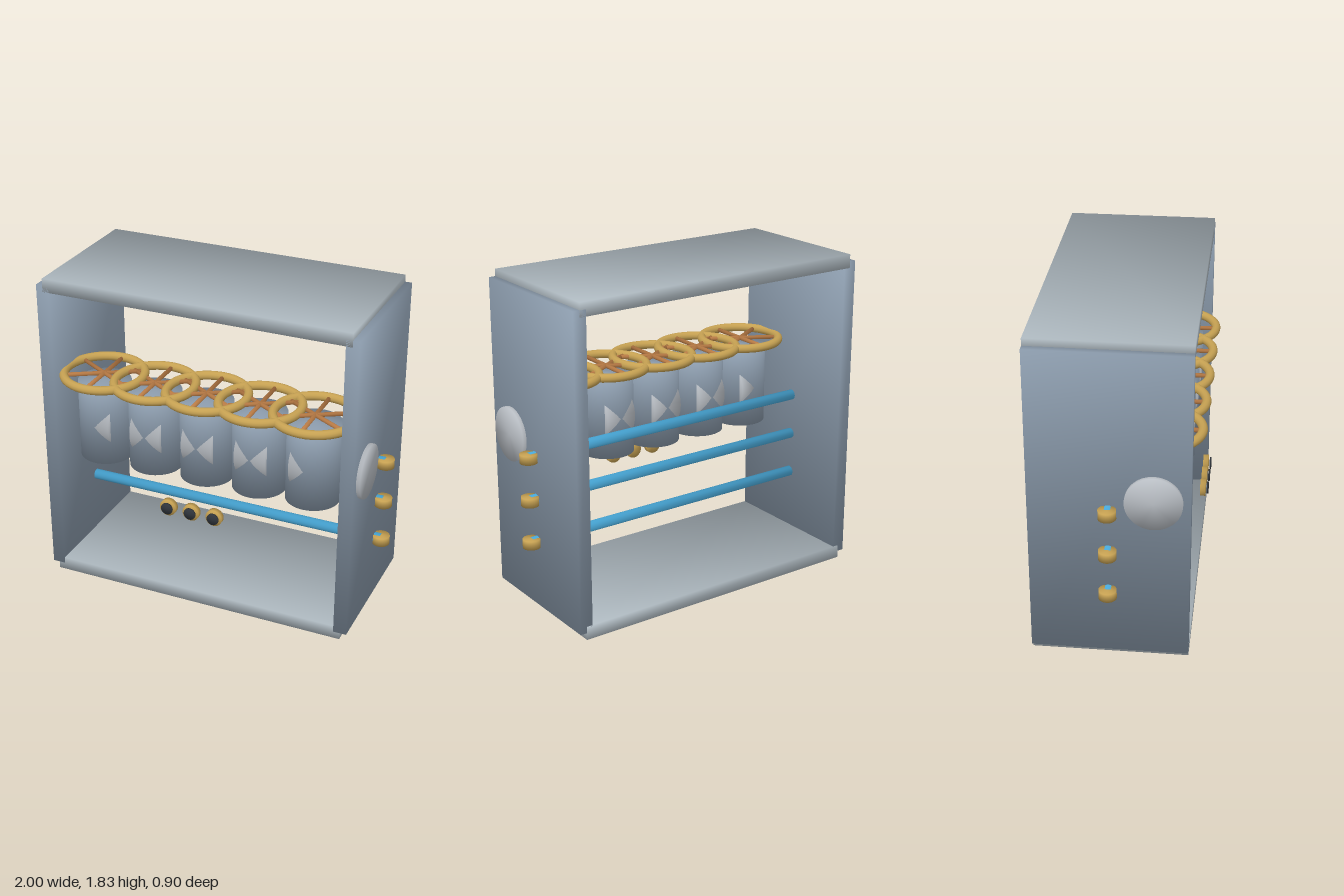
import * as THREE from 'three';
import { mergeVertices } from 'three/addons/utils/BufferGeometryUtils.js';

const mat = (name, color) => {
  const m = new THREE.MeshStandardMaterial({ color });
  m.name = name;
  return m;
};

// Weld shared corners and set soft normals by a rule on the position
function soften(geo, rule) {
  geo.deleteAttribute('normal');
  geo.deleteAttribute('uv');
  const g = mergeVertices(geo, 1e-5);
  const p = g.attributes.position, n = new Float32Array(p.count * 3);
  const v = new THREE.Vector3();
  for (let i = 0; i < p.count; i++) {
    v.fromBufferAttribute(p, i);
    rule(v);
    v.normalize().toArray(n, i * 3);
  }
  g.setAttribute('normal', new THREE.BufferAttribute(n, 3));
  return g;
}
const softBox = (w, h, d) => soften(new THREE.BoxGeometry(w, h, d),
  v => v.set(Math.sign(v.x), Math.sign(v.y), Math.sign(v.z)));
const softCylinder = (r, h, axis = 'y', sides = 32) => {
  const g = soften(new THREE.CylinderGeometry(r, r, h, sides),
    v => v.set(v.x / r, Math.sign(v.y), v.z / r));
  if (axis === 'x') g.rotateZ(-Math.PI / 2);
  if (axis === 'z') g.rotateX(Math.PI / 2);
  return g;
};

export function createModel() {
  const model = new THREE.Group();
  model.name = 'drumRack';

  const steel = mat('blueSteel', 0x8c9cad);
  const plate = mat('paleSteel', 0xb0bbc2);
  const silver = mat('silver', 0xb9bec4);
  const gold = mat('brass', 0xc6a152);
  const copper = mat('copper', 0xc08048);
  const blue = mat('blueRod', 0x48a8d8);
  const dark = mat('darkLens', 0x30353c);

  const add = (name, geo, material, x, y, z, parent = model) => {
    const m = new THREE.Mesh(geo, material);
    m.name = name;
    m.position.set(x, y, z);
    parent.add(m);
    return m;
  };

  // Open frame
  const zMid = -0.03, depth = 0.84;
  add('bottomPlate', softBox(1.75, 0.077, depth), plate, 0, 0.0385, zMid);
  add('topPlate', softBox(1.75, 0.077, depth), plate, 0, 1.7915, zMid);
  for (const s of [-1, 1]) {
    add('sidePlate', softBox(0.075, 1.75, depth), steel, s * 0.876, 0.915, zMid);
    add('sideDisc', softCylinder(0.15, 0.07, 'x', 48), silver, s * 0.9, 0.97, 0.2);
  }

  // Cross rods with an upright end nut on each side
  const rodGeo = softCylinder(0.03, 1.9, 'x', 20);
  const nutGeo = softCylinder(0.048, 0.05, 'y', 24);
  for (const y of [0.425, 0.668, 0.91]) {
    add('crossRod', rodGeo, blue, 0, y, -0.033);
    for (const s of [-1, 1]) add('endNut', nutGeo, gold, s * 0.952, y, -0.033);
  }

  // Drums, each with a hand wheel above and a cross bore through it
  const drumGeo = softCylinder(0.15, 0.457, 'y', 48);
  const rimGeo = new THREE.TorusGeometry(0.225, 0.025, 12, 48).rotateX(Math.PI / 2);
  const spokeGeo = softCylinder(0.012, 0.43, 'z', 10);
  for (let i = -2; i <= 2; i++) {
    const unit = new THREE.Group();
    unit.name = 'drumUnit';
    unit.position.set(i * 0.3125, 0, 0.2);
    model.add(unit);
    add('drum', drumGeo, steel, 0, 0.972, 0, unit);

    // The outermost bores only reach towards the centre
    const left = i === -2 ? 0 : -0.09, right = i === 2 ? 0 : 0.09;
    add('crossBore', softCylinder(0.1497, right - left, 'x', 48), silver,
      (left + right) / 2, 0.97, 0, unit);

    add('wheelRim', rimGeo, gold, 0, 1.24, 0, unit);
    for (let k = 0; k < 3; k++)
      add('wheelSpoke', spokeGeo, copper, 0, 1.24, 0, unit).rotation.y = k * Math.PI / 3;
  }

  // Row of three small indicators
  const bezelGeo = softCylinder(0.048, 0.03, 'z', 28);
  const lensGeo = softCylinder(0.034, 0.009, 'z', 24);
  for (const x of [-0.138, 0, 0.138]) {
    add('indicatorBezel', bezelGeo, gold, x, 0.61, 0.41);
    add('indicatorLens', lensGeo, dark, x, 0.61, 0.436);
  }
  return model;
}
